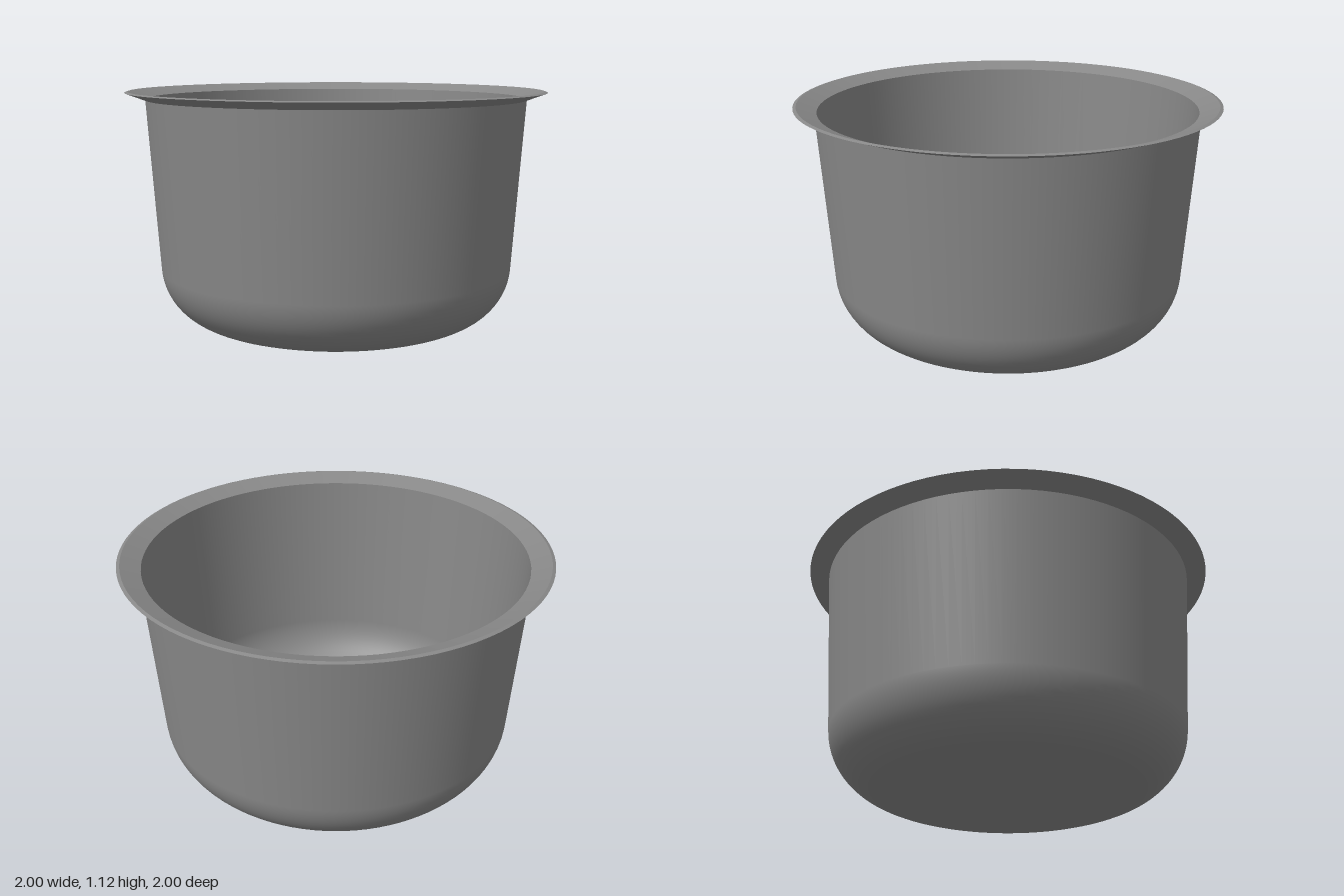
import * as THREE from 'three';

const SEGMENTS = 96;
const THICK = 0.012;
const TILT = 0.068;               // wall slope from vertical, radians
const FILLET = { x: 0.56, y: 0.29, r: 0.29 };

// Floor, rounded corner and sloping wall, from the centre outwards and up.
function bowlProfile(offset, topX, topY) {
  const r = FILLET.r - offset;
  const pts = [[0, offset], [0.3, offset], [FILLET.x - 0.01, offset]];
  for (let i = 0; i <= 16; i++) {
    const a = -Math.PI / 2 + (Math.PI / 2 - TILT) * (i / 16);
    pts.push([FILLET.x + r * Math.cos(a), FILLET.y + r * Math.sin(a)]);
  }
  pts.push([topX, topY]);
  return pts;
}

export function createModel() {
  const group = new THREE.Group();
  const metal = new THREE.MeshStandardMaterial({ color: 0x888888 });

  const addRing = (name, points) => {
    const profile = points.map(([x, y]) => new THREE.Vector2(x, y));
    const mesh = new THREE.Mesh(new THREE.LatheGeometry(profile, SEGMENTS), metal);
    mesh.name = name;
    group.add(mesh);
  };

  // Each surface is its own lathe so the rim edges stay sharp.
  addRing('outerBowl', bowlProfile(0, 0.905, 1.08));
  addRing('rimUnderside', [[0.905, 1.08], [1, 1.115]]);
  addRing('rimEdge', [[1, 1.115], [0.985, 1.12]]);
  addRing('rimTop', [[0.985, 1.12], [0.893, 1.086]]);
  addRing('innerBowl', bowlProfile(THICK, 0.893, 1.086).reverse());

  return group;
}
